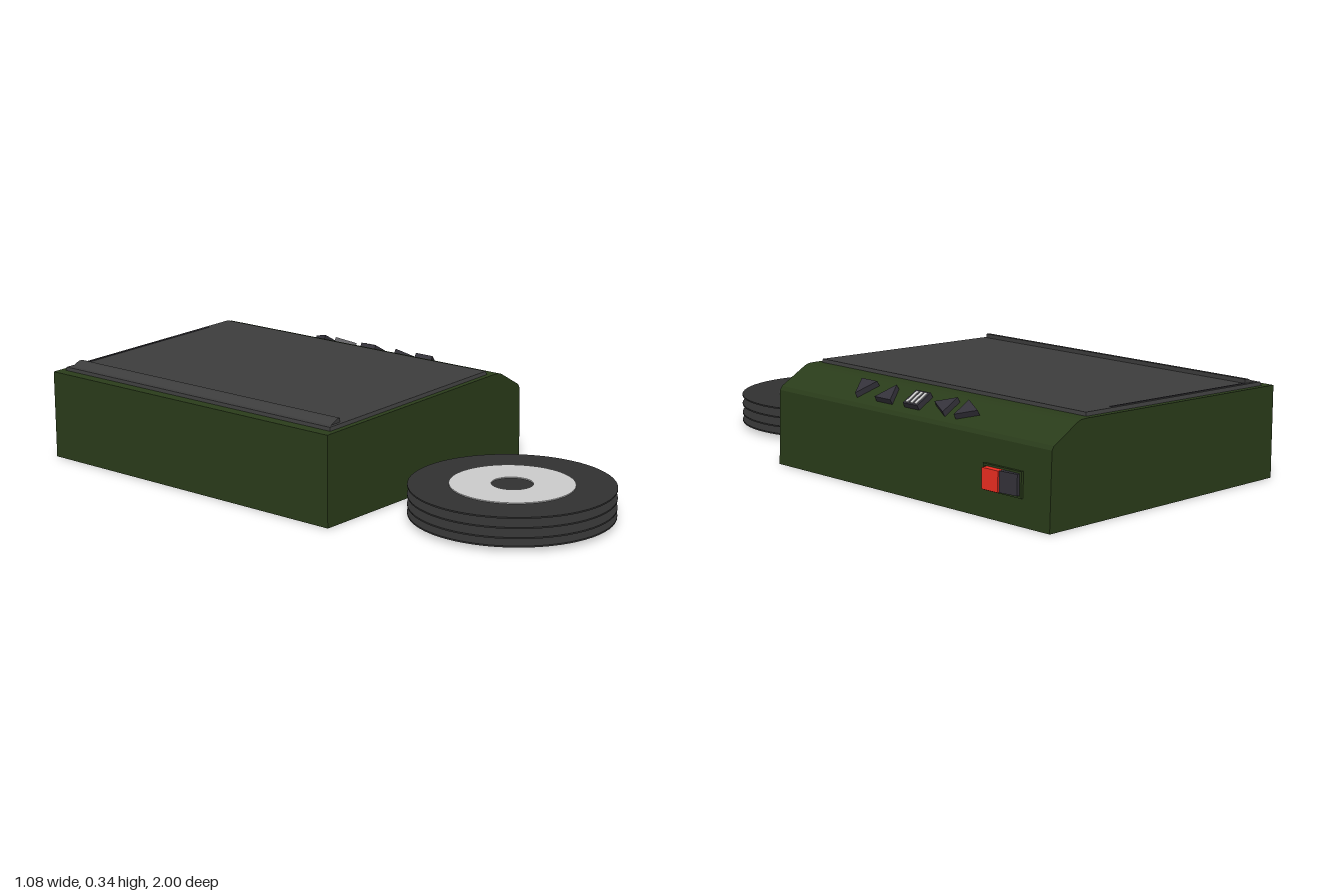
import * as THREE from 'three';

const paint = (color) => new THREE.MeshStandardMaterial({ color });
const GREEN = paint(0x2a3c1a), DARK = paint(0x3d3d3d), BUTTON = paint(0x34323a),
  VINYL = paint(0x313131), RED = paint(0xf02e22), GREY = paint(0xcccccc);

function add(parent, name, geometry, material, x = 0, y = 0, z = 0) {
  const mesh = new THREE.Mesh(geometry, material);
  mesh.name = name;
  mesh.position.set(x, y, z);
  parent.add(mesh);
  return mesh;
}

function group(parent, name) {
  const g = new THREE.Group();
  g.name = name;
  parent.add(g);
  return g;
}

const box = (w, h, d) => new THREE.BoxGeometry(w, h, d);
const shapeOf = (pts) => new THREE.Shape(pts.map(([x, y]) => new THREE.Vector2(x, y)));
const extrude = (shape, depth, curveSegments = 12) =>
  new THREE.ExtrudeGeometry(shape, { depth, bevelEnabled: false, curveSegments });

export function createModel() {
  const model = new THREE.Group();
  model.name = 'recordPlayer';

  // Case: side profile with a sloping control edge, run along z
  const profile = shapeOf([[-0.54, 0], [0.513, 0], [0.506, 0.255], [0.498, 0.268],
    [0.395, 0.326], [0.38, 0.331], [0.355, 0.332], [-0.54, 0.312]]);
  add(model, 'case', extrude(profile, 1.27), GREEN, 0, 0, -1);

  // Lid panel, slightly tilted, with a narrower top
  const lid = group(model, 'lid');
  lid.position.set(-0.082, 0.3222, -0.365);
  lid.rotation.z = 0.0223;
  const panel = box(0.84, 0.012, 1.23);
  const p = panel.attributes.position;
  for (let i = 0; i < p.count; i++) {
    if (p.getY(i) > 0) p.setXYZ(i, p.getX(i) * 0.994, p.getY(i), p.getZ(i) * 0.994);
  }
  panel.computeVertexNormals();
  add(lid, 'lidPanel', panel, DARK, 0, 0.006, 0);
  // Raised lip along the left edge and a fine seam at the back
  const lip = shapeOf([[-0.4, 0.011], [-0.353, 0.011], [-0.353, 0.026], [-0.368, 0.026]]);
  add(lid, 'lidLip', extrude(lip, 1.2), DARK, 0, 0, -0.6);
  add(lid, 'lidSeam', box(0.65, 0.002, 0.006), BUTTON, -0.03, 0.0125, -0.598);

  // Control buttons on the sloping edge
  const controls = group(model, 'controls');
  controls.position.set(0.446, 0.297, 0);
  controls.rotation.z = -0.513;
  const triangle = extrude(shapeOf([[-0.038, -0.035], [0.038, -0.035], [0, 0.038]]), 0.026);
  triangle.rotateX(-Math.PI / 2);
  const arrows = [[-0.595, 0], [-0.475, Math.PI], [-0.225, Math.PI / 2], [-0.095, -Math.PI / 2]];
  for (const [z, turn] of arrows) {
    add(controls, 'arrowButton', triangle, BUTTON, 0, -0.006, z).rotation.y = turn;
  }
  add(controls, 'squareButton', box(0.068, 0.026, 0.068), BUTTON, 0, 0.006, -0.355);
  for (const dz of [-0.02, 0, 0.02]) {
    add(controls, 'buttonStripe', box(0.056, 0.003, 0.012), GREY, 0, 0.02, -0.355 + dz);
  }

  // Power switch on the side: frame, red half and dark half
  const power = group(model, 'powerSwitch');
  const frame = shapeOf([[-0.082, -0.042], [0.082, -0.042], [0.082, 0.042], [-0.082, 0.042]]);
  frame.holes.push(shapeOf([[-0.075, -0.035], [-0.075, 0.035], [0.075, 0.035], [0.075, -0.035]]));
  add(power, 'switchFrame', extrude(frame, 0.012), GREEN, 0.506, 0.131, -0.803)
    .rotation.y = Math.PI / 2;
  add(power, 'switchRed', box(0.04, 0.068, 0.07), RED, 0.518, 0.131, -0.77);
  add(power, 'switchDark', box(0.03, 0.068, 0.07), BUTTON, 0.515, 0.131, -0.84)
    .rotation.y = 0.1;

  // Stack of records, each with a raised ring label
  const disc = new THREE.CylinderGeometry(0.342, 0.342, 0.005, 64);
  const ring = new THREE.Shape().absarc(0, 0, 0.207, 0, Math.PI * 2);
  ring.holes.push(new THREE.Path().absarc(0, 0, 0.069, 0, Math.PI * 2, true));
  const label = extrude(ring, 0.004, 32);
  label.rotateX(-Math.PI / 2);
  const records = group(model, 'records');
  for (const y of [0.016, 0.044, 0.077, 0.11]) {
    const record = group(records, 'record');
    record.position.set(-0.07, y, 0.658);
    add(record, 'disc', disc, VINYL);
    add(record, 'label', label, GREY, 0, 0.002, 0);
  }
  return model;
}
